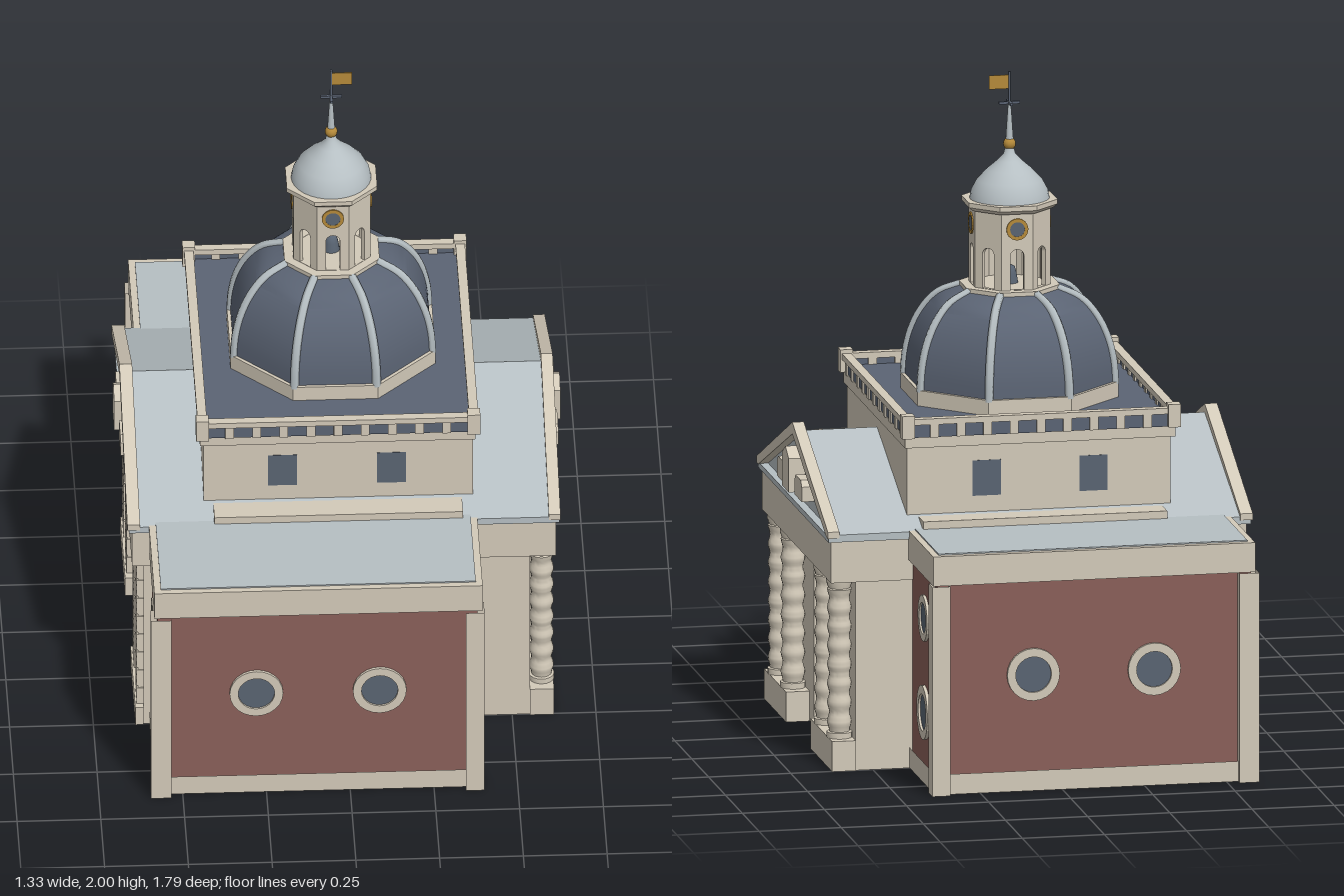
import * as THREE from 'three';
import { toCreasedNormals } from 'three/addons/utils/BufferGeometryUtils.js';

const mat = (name, color, side = THREE.FrontSide) => {
  const m = new THREE.MeshStandardMaterial({ color, side });
  m.name = name;
  return m;
};

export function createModel() {
  const root = new THREE.Group();
  root.name = 'domedGatehouse';
  const stone = mat('stone', 0xd3cab9, THREE.DoubleSide);
  const brick = mat('brick', 0x8a5f59, THREE.DoubleSide);
  const lead = mat('lightLead', 0xb6bfc3);
  const slate = mat('slate', 0x5b6474);
  const glass = mat('windowGlass', 0x596472);
  const gold = mat('gold', 0xb58a3a, THREE.DoubleSide);
  const CX = -0.018; // axis of the dome

  const add = (name, geo, m, x = 0, y = 0, z = 0, parent = root) => {
    const mesh = new THREE.Mesh(geo, m);
    mesh.name = name;
    mesh.position.set(x, y, z);
    parent.add(mesh);
    return mesh;
  };
  // box given by its limits; omit lists faces left open (0-5: +x -x +y -y +z -z)
  const box = (name, m, x0, x1, y0, y1, z0, z1, omit = []) => {
    const g = new THREE.BoxGeometry(x1 - x0, y1 - y0, z1 - z0);
    g.setIndex([...g.index.array].filter((_, i) => !omit.includes(Math.floor(i / 6))));
    g.clearGroups();
    return add(name, g, m, (x0 + x1) / 2, (y0 + y1) / 2, (z0 + z1) / 2);
  };
  const poly = (pts) => new THREE.Shape(pts.map(([a, b]) => new THREE.Vector2(a, b)));
  // extrude a (z, y) outline along x
  const alongX = (name, m, shape, x0, x1, z = 0) => {
    const g = new THREE.ExtrudeGeometry(shape, { depth: x1 - x0, bevelEnabled: false, curveSegments: 14 });
    g.rotateY(Math.PI / 2);
    return add(name, g, m, x0, 0, z);
  };
  const archPath = (path, w, y0, spring) => {
    path.moveTo(-w, y0);
    path.lineTo(w, y0);
    path.lineTo(w, spring);
    path.absarc(0, spring, w, 0, Math.PI, false);
    path.lineTo(-w, y0);
    return path;
  };
  const lathe = (pts, n) => new THREE.LatheGeometry(pts.map(([r, y]) => new THREE.Vector2(r, y)), n);
  // eight-sided turned form; radii are measured to the flats
  const octagon = (pts) => {
    const c = Math.cos(Math.PI / 8);
    const g = new THREE.LatheGeometry(pts.map(([r, y]) => new THREE.Vector2(r / c, y)), 8, Math.PI / 8);
    return toCreasedNormals(g, 0.6);
  };
  // round window: ring and glass, facing angle ry
  const roundWindow = (x, y, z, r, ry, rim = stone) => {
    const g = new THREE.Group();
    g.name = 'roundWindow';
    const ring = new THREE.Shape().absarc(0, 0, r, 0, Math.PI * 2);
    ring.holes.push(new THREE.Path().absarc(0, 0, r * 0.68, 0, Math.PI * 2));
    add('windowRing', new THREE.ExtrudeGeometry(ring, { depth: r * 0.12, bevelEnabled: false, curveSegments: 12 }), rim, 0, 0, 0, g);
    add('windowPane', new THREE.CircleGeometry(r * 0.72, 24), glass, 0, 0, 0.003, g);
    g.position.set(x, y, z);
    g.rotation.y = ry;
    root.add(g);
  };

  // hollow brick side wings, open underneath
  for (const s of [-1, 1]) {
    const inner = s > 0 ? 5 : 4;
    const wing = (name, m, x0, x1, y0, y1, a, b, omit) =>
      box(name, m, x0, x1, y0, y1, Math.min(s * a, s * b), Math.max(s * a, s * b), omit);
    wing('brickWing', brick, -0.575, 0.38, 0.03, 0.66, 0.5, 0.868, [3, inner]);
    wing('wingPlinth', stone, -0.583, 0.388, 0, 0.062, 0.5, 0.876, [2, 3, inner]);
    wing('wingCornice', stone, -0.585, 0.395, 0.64, 0.73, 0.48, 0.885);
    wing('wingRoof', lead, -0.565, 0.375, 0.71, 0.734, 0.48, 0.865);
    for (const [a, b] of [[-0.595, -0.535], [0.345, 0.4]]) wing('cornerPilaster', stone, a, b, 0, 0.64, 0.84, 0.897, [2, 3]);
    for (const x of [-0.28, 0.088]) roundWindow(x, 0.355, s * 0.868, 0.08, s > 0 ? 0 : Math.PI);
    for (const [y, r] of [[0.5, 0.07], [0.212, 0.082]]) {
      roundWindow(0.38, y, s * 0.69, r, Math.PI / 2);
      roundWindow(-0.575, y, s * 0.69, r, -Math.PI / 2);
    }
  }

  // central body with the arched passage, its piers open underneath
  const body = poly([[-0.5, 0], [-0.12, 0], [-0.12, 0.455]]);
  body.absarc(0, 0.455, 0.12, Math.PI, 0, true);
  [[0.12, 0], [0.5, 0], [0.5, 0.59], [-0.5, 0.59]].forEach(([a, b]) => body.lineTo(a, b));
  const bodyGeo = alongX('archedBody', stone, body, -0.6, 0.553).geometry;
  const py = bodyGeo.attributes.position;
  const kept = [];
  for (let i = 0; i < py.count; i += 3) {
    if (Math.max(py.getY(i), py.getY(i + 1), py.getY(i + 2)) > 0.001) kept.push(i, i + 1, i + 2);
  }
  bodyGeo.setIndex(kept);
  bodyGeo.clearGroups();
  box('entablature', stone, -0.635, 0.63, 0.578, 0.705, -0.513, 0.513);
  box('eaves', lead, -0.645, 0.64, 0.705, 0.722, -0.525, 0.525);

  // portico fronts: bulging columns on one side, banded pilasters on the other
  const colPts = [[0, 0], [0.038, 0], [0.038, 0.018]];
  for (let i = 0; i <= 56; i++) {
    colPts.push([0.0335 + 0.003 * Math.cos((i / 56) * Math.PI * 2 * 7.5 + Math.PI), 0.02 + (i / 56) * 0.435]);
  }
  colPts.push([0.033, 0.458], [0.039, 0.475], [0.039, 0.488], [0, 0.488]);
  const colGeo = toCreasedNormals(lathe(colPts, 18), 0.7);
  for (const s of [-1, 1]) {
    const [z0, z1] = s > 0 ? [0.18, 0.505] : [-0.505, -0.18];
    box('columnPedestal', stone, 0.553, 0.625, 0, 0.092, z0, z1, [1, 3]);
    box('pilasterPedestal', stone, -0.625, -0.6, 0, 0.062, z0, z1, [0, 3]);
    for (const z of [0.25, 0.44]) {
      add('column', colGeo, stone, 0.59, 0.091, s * z);
      box('pilasterCore', stone, -0.616, -0.59, 0.06, 0.58, s * z - 0.043, s * z + 0.043);
      for (let i = 0; i < 8; i++) {
        const y = 0.064 + i * 0.0645;
        box('pilasterBlock', stone, -0.62, -0.6, y, y + 0.056, s * z - 0.046, s * z + 0.046);
      }
    }
    alongX('archedNiche', glass, archPath(new THREE.Shape(), 0.043, 0.17, 0.342), 0.55, 0.556, s * 0.345);
  }

  // long gabled roof, raking cornices and pediment reliefs
  alongX('gableRoof', lead, poly([[-0.528, 0.712], [0.528, 0.712], [0.528, 0.728], [0, 0.932], [-0.528, 0.728]]), -0.622, 0.615);
  const rake = poly([[-0.53, 0.718], [-0.505, 0.718], [0, 0.922], [0.505, 0.718], [0.53, 0.718], [0.53, 0.738], [0, 0.958], [-0.53, 0.738]]);
  for (const [x0, x1, r0, r1, p0, p1] of [[-0.65, -0.612, -0.655, -0.615, -0.668, -0.615], [0.608, 0.643, 0.61, 0.652, 0.61, 0.664]]) {
    alongX('rakingCornice', stone, rake, x0, x1);
    alongX('centreRelief', stone, poly([[-0.05, 0.755], [0.05, 0.755], [0.05, 0.858], [0, 0.886], [-0.05, 0.858]]), p0, p1);
    for (const s of [-1, 1]) {
      alongX('sideRelief', stone, poly([[-0.055, 0.755], [0.055, 0.755], [0.055, 0.8], [0.038, 0.818], [-0.038, 0.818], [-0.055, 0.8]]), r0, r1, s * 0.13);
    }
  }

  // square upper storey
  box('upperLedge', stone, -0.39, 0.352, 0.7, 0.757, -0.53, 0.53);
  box('upperStorey', stone, -0.418, 0.385, 0.72, 0.98, -0.443, 0.443);
  box('upperCornice', stone, -0.43, 0.393, 0.967, 1.003, -0.457, 0.457);
  for (const s of [-1, 1]) for (const x of [-0.183, 0.142]) {
    box('upperWindow', glass, x - 0.043, x + 0.043, 0.81, 0.918, s * 0.442 - 0.002, s * 0.442 + 0.002);
  }

  // balustrade around the dark roof deck
  box('roofDeck', slate, -0.42, 0.382, 1.0, 1.02, -0.455, 0.455);
  for (const s of [-1, 1]) {
    const ex = CX + s * 0.405, ez = s * 0.46;
    box('balustradePanel', slate, CX - 0.4, CX + 0.4, 1.0, 1.044, ez - 0.005, ez + 0.005);
    box('balustradePanel', slate, ex - 0.005, ex + 0.005, 1.0, 1.044, -0.455, 0.455);
    box('balustradeRail', stone, CX - 0.4, CX + 0.4, 1.04, 1.058, ez - 0.014, ez + 0.014);
    box('balustradeRail', stone, ex - 0.014, ex + 0.014, 1.04, 1.058, -0.455, 0.455);
    for (let i = 0; i < 9; i++) {
      const x = CX + (i - 4) * 0.081;
      box('baluster', stone, x - 0.013, x + 0.013, 1.0, 1.042, ez - 0.01, ez + 0.01);
    }
    for (let i = 0; i < 11; i++) {
      const z = (i - 5) * 0.0815;
      box('baluster', stone, ex - 0.01, ex + 0.01, 1.0, 1.042, z - 0.013, z + 0.013);
    }
    for (const t of [-1, 1]) box('cornerPost', stone, ex - 0.019, ex + 0.019, 1.0, 1.07, t * 0.462 - 0.019, t * 0.462 + 0.019);
  }

  // ribbed octagonal dome
  add('domePlinth', octagon([[0, 1.01], [0.306, 1.01], [0.306, 1.067], [0.28, 1.067]]), stone, CX);
  const ribPts = [[0.296, 1.06], [0.291, 1.13], [0.275, 1.2], [0.245, 1.265], [0.2, 1.317], [0.135, 1.346]];
  const curve = new THREE.SplineCurve(ribPts.map(([r, y]) => new THREE.Vector2(r, y)));
  const profile = curve.getPoints(20).map((p) => [p.x, p.y]);
  add('dome', octagon([...profile, [0, 1.35]]), slate, CX);
  for (let k = 0; k < 8; k++) {
    const a = Math.PI / 8 + (k * Math.PI) / 4;
    const path = new THREE.CatmullRomCurve3(ribPts.map(([r, y]) => {
      const q = r / Math.cos(Math.PI / 8);
      return new THREE.Vector3(q * Math.sin(a), y, q * Math.cos(a));
    }));
    add('domeRib', new THREE.TubeGeometry(path, 20, 0.013, 6), lead, CX);
  }

  // open lantern with bell and clocks
  add('lanternBase', octagon([[0, 1.335], [0.142, 1.335], [0.142, 1.356], [0, 1.356]]), stone, CX);
  const wall = poly([[-0.0476, 1.35], [0.0476, 1.35], [0.0476, 1.6], [-0.0476, 1.6]]);
  wall.holes.push(archPath(new THREE.Path(), 0.021, 1.357, 1.46));
  const wallGeo = new THREE.ExtrudeGeometry(wall, { depth: 0.014, bevelEnabled: false, curveSegments: 8 });
  wallGeo.translate(0, 0, 0.101);
  for (let k = 0; k < 8; k++) {
    const a = (k * Math.PI) / 4;
    add('lanternWall', wallGeo, stone, CX).rotation.y = a;
    if (k % 2 === 0) roundWindow(CX + Math.sin(a) * 0.116, 1.543, Math.cos(a) * 0.116, 0.033, a, gold);
  }
  add('bell', lathe([[0.026, 1.355], [0.021, 1.385], [0.016, 1.405], [0, 1.413]], 14), glass, CX);
  add('lanternCornice', octagon([[0, 1.59], [0.122, 1.59], [0.135, 1.602], [0.135, 1.616], [0, 1.616]]), stone, CX);
  add('lanternRoof', lathe([[0.12, 1.614], [0.115, 1.64], [0.098, 1.672], [0.068, 1.703], [0.036, 1.73], [0.018, 1.75], [0.012, 1.772]], 32), lead, CX);

  // finial, cross arms and flag
  add('finialBall', new THREE.SphereGeometry(0.019, 16, 12), gold, CX, 1.78, 0);
  add('spire', new THREE.CylinderGeometry(0.004, 0.012, 0.12, 10), lead, CX, 1.85, 0);
  add('flagPole', new THREE.CylinderGeometry(0.004, 0.004, 0.12, 8), slate, CX, 1.94, 0);
  box('crossArm', slate, CX - 0.032, CX + 0.032, 1.901, 1.909, -0.004, 0.004);
  box('crossArm', slate, CX - 0.004, CX + 0.004, 1.901, 1.909, -0.032, 0.032);
  box('flag', gold, CX, CX + 0.062, 1.948, 1.99, -0.002, 0.002);

  return root;
}
